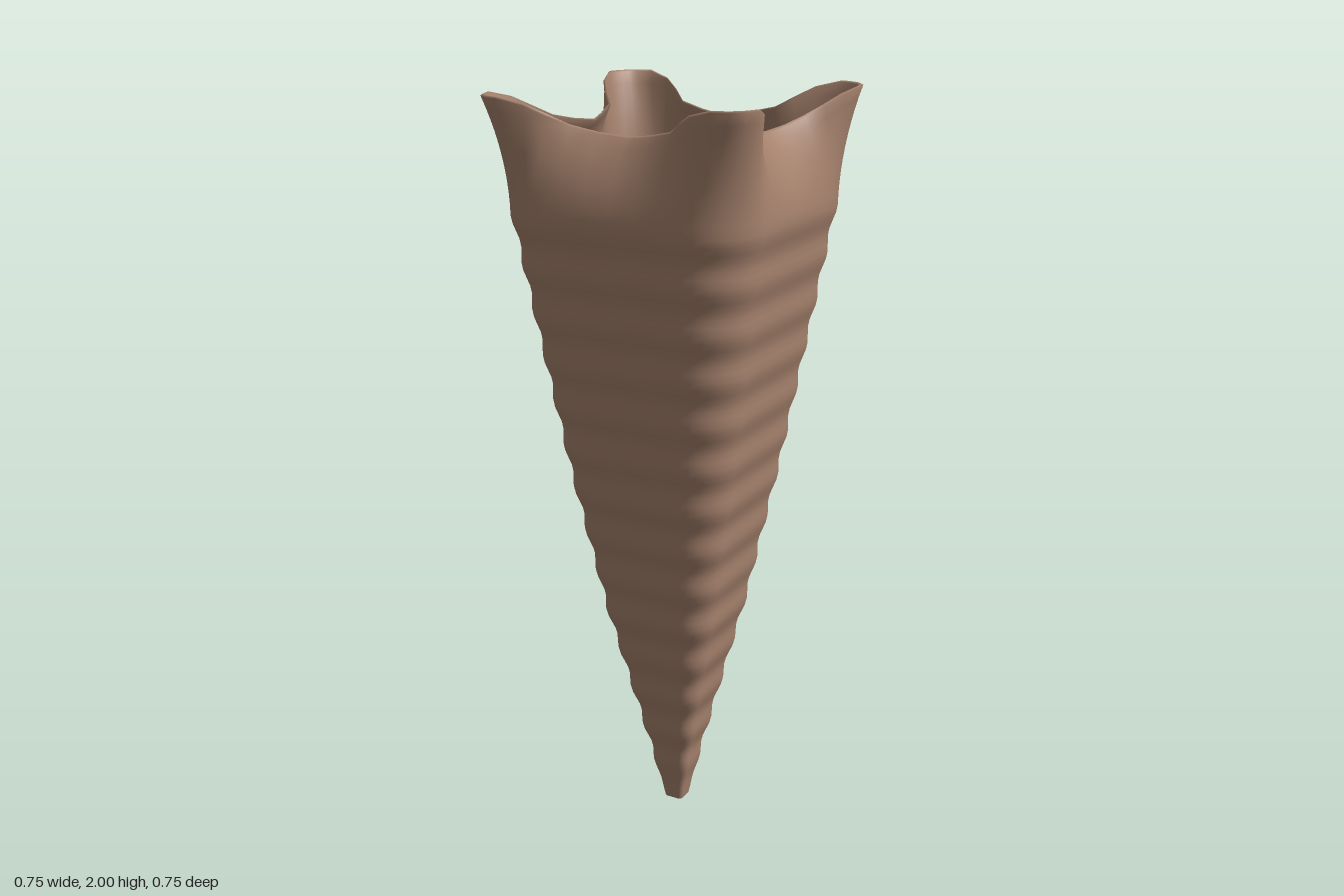
import * as THREE from 'three';

// Rim from the middle of a side to its corner: [x, z, y]
const RIM = [
  [0, 0.25, 1.906], [0.07, 0.268, 1.915], [0.14, 0.286, 1.93], [0.18, 0.322, 1.955],
  [0.225, 0.352, 1.98], [0.29, 0.375, 1.996], [0.33, 0.361, 1.996], [0.348, 0.348, 1.996],
];
// Rounded square of half-width 1 over the same span: [x, z]
const SECTION = [[0, 1], [0.2, 1], [0.4, 1]];
for (let i = 0; i <= 4; i++) {
  const a = (i / 4) * Math.PI / 4;
  SECTION.push([0.58 + 0.42 * Math.sin(a), 0.58 + 0.42 * Math.cos(a)]);
}
const LAST = SECTION.length - 1;
const NECK = 1.7;      // height where the ripples end and the mouth begins
const PERIOD = 0.1214; // ripple spacing
const WALL = 0.011;

// Half-width of the body at a height, with ripples
const TAPER = [[0, 0.027], [0.2, 0.068], [0.6, 0.157], [1.0, 0.23], [1.4, 0.294], [1.7, 0.341]];
function halfWidth(y) {
  let k = 0;
  while (k < TAPER.length - 2 && y > TAPER[k + 1][0]) k++;
  const [y0, w0] = TAPER[k], [y1, w1] = TAPER[k + 1];
  const w = w0 + (w1 - w0) * (y - y0) / (y1 - y0);
  return w + 0.004 * Math.min(1, y / 0.15) * Math.cos(2 * Math.PI * (y - 1.69) / PERIOD);
}

// Closed loop made by mirroring and turning one eighth of the section
function ring(pointAt) {
  const loop = [];
  for (let side = 0; side < 4; side++) {
    for (let i = -LAST; i < LAST; i++) {
      let [x, z, y] = pointAt(Math.abs(i));
      if (i < 0) x = -x;
      for (let k = 0; k < side; k++) [x, z] = [z, -x];
      loop.push([x, y, z]);
    }
  }
  return loop;
}

const bodyRing = (y, inset) => ring((i) => {
  const w = Math.max(halfWidth(y) - inset, 0.001);
  return [SECTION[i][0] * w, SECTION[i][1] * w, y];
});

// Blend from the neck to the wavy rim; the side panels fold inward
const mouthRing = (t, inset, lift = 0) => ring((i) => {
  const w = halfWidth(NECK), [rx, rz, ry] = RIM[i];
  const f = t ** 1.9;
  const x = SECTION[i][0] * w * (1 - f) + rx * f;
  const z = SECTION[i][1] * w * (1 - f) + rz * f;
  const s = 1 - inset / Math.max(x, z);
  return [x * s, z * s, NECK + (ry - NECK) * t + lift];
});

function loft(rings) {
  const n = rings[0].length, index = [];
  for (let j = 0; j < rings.length - 1; j++) {
    for (let i = 0; i < n; i++) {
      const a = j * n + i, b = j * n + (i + 1) % n;
      index.push(a, b, b + n, a, b + n, a + n);
    }
  }
  const geometry = new THREE.BufferGeometry();
  geometry.setAttribute('position', new THREE.Float32BufferAttribute(rings.flat(2), 3));
  geometry.setIndex(index);
  geometry.computeVertexNormals();
  return geometry;
}

// Rings of one wall from the tip to the rim
function wall(inset, bottom) {
  const rings = [], steps = 84, mouth = 10;
  for (let j = 0; j < steps; j++) rings.push(bodyRing(bottom + (NECK - bottom) * j / steps, inset));
  for (let j = 0; j <= mouth; j++) rings.push(mouthRing(j / mouth, inset));
  return rings;
}

// Flat square closing the tip, facing up or down
function cap(y, inset, up) {
  const edge = bodyRing(y, inset), centre = edge.map(() => [0, y, 0]);
  return loft(up ? [edge, centre] : [centre, edge]);
}

export function createModel() {
  const model = new THREE.Group();
  model.name = 'rippledCone';
  const clay = new THREE.MeshStandardMaterial({ color: 0xa6826d });
  clay.name = 'brown clay';
  const add = (name, geometry) => {
    const mesh = new THREE.Mesh(geometry, clay);
    mesh.name = name;
    model.add(mesh);
  };

  // Outer wall, rounded rim and inner wall in one smooth skin
  const floor = 0.03;
  add('shell', loft([...wall(0, 0), mouthRing(1, WALL / 2, 0.004), ...wall(WALL, floor).reverse()]));
  add('tipBase', cap(0, 0, false));
  add('innerFloor', cap(floor, WALL, true));
  return model;
}
